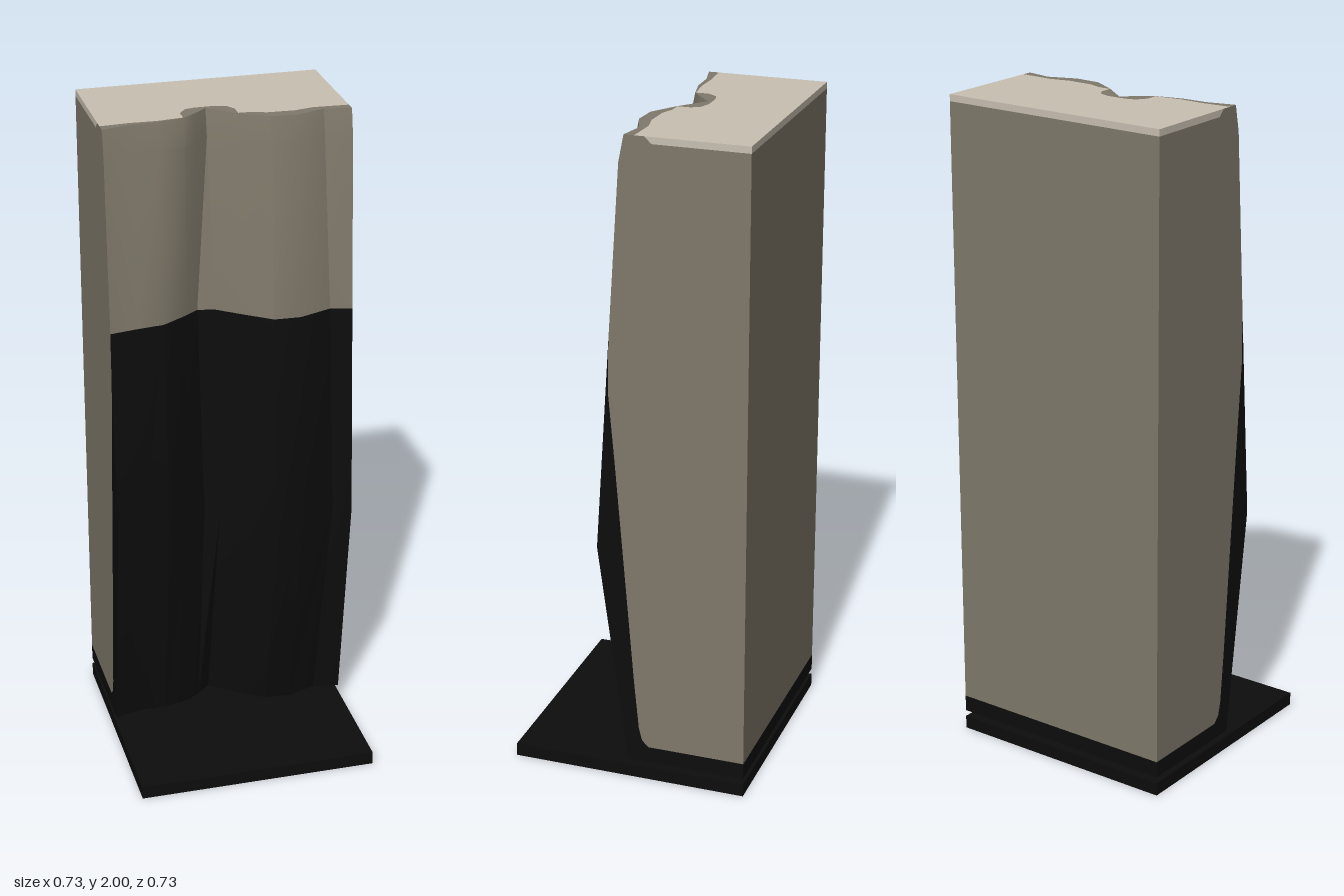
import * as THREE from 'three';
import { toCreasedNormals } from 'three/addons/utils/BufferGeometryUtils.js';

const W = 0.364, BOTTOM = 0.06, TOP = 2, SPLIT = 1.4;

// Wavy front outlines as [x, z], one per height
const rimRow = [[-W, 0], [-0.28, -0.02], [-0.2, -0.022], [-0.12, -0.04], [-0.08, -0.07], [-0.04, -0.105],
  [0.04, -0.04], [0.12, 0.01], [0.2, 0.015], [0.285, -0.015], [W, 0]];
const bevelRow = rimRow.map(([x, z]) => [x, z + 0.016]);
const splitRow = [[-W, 0.05], [-0.28, 0.035], [-0.2, 0.025], [-0.12, -0.025], [-0.08, -0.055], [-0.03, -0.045],
  [0.04, 0.01], [0.12, 0.07], [0.2, 0.073], [0.3, 0.035], [W, 0.05]];
const bulgeRow = [[-W, 0.095], [-0.28, 0.078], [-0.2, 0.07], [-0.12, 0.015], [-0.07, -0.018], [-0.03, 0.015],
  [0.04, 0.075], [0.12, 0.142], [0.2, 0.125], [0.31, 0.07], [W, 0.092]];

// Skin between stacked rows, listed from bottom to top
function skin(rows) {
  const pos = [], index = [], n = rows[0].pts.length;
  for (const { y, pts } of rows) for (const [x, z] of pts) pos.push(x, y, z);
  for (let r = 0; r < rows.length - 1; r++) {
    for (let i = 0; i < n - 1; i++) {
      const a = r * n + i, b = a + 1, c = a + n, d = c + 1;
      index.push(a, b, d, a, d, c);
    }
  }
  const g = new THREE.BufferGeometry();
  g.setAttribute('position', new THREE.Float32BufferAttribute(pos, 3));
  g.setIndex(index);
  return toCreasedNormals(g, 0.45);
}

const flat = (pts) => new THREE.ShapeGeometry(new THREE.Shape(pts.map(([u, v]) => new THREE.Vector2(u, v))));
// Side wall from [z, y] points; s = 1 for left (+x), -1 for right
const wall = (pts, s) => flat(pts.map(([z, y]) => [-s * z, y])).rotateY(s * Math.PI / 2).translate(s * W, 0, 0);
// Upward face from [x, z] points
const lid = (pts, y) => flat(pts.map(([x, z]) => [x, -z])).rotateX(-Math.PI / 2).translate(0, y, 0);
// Back panel between two heights
const back = (y0, y1) => new THREE.PlaneGeometry(2 * W, y1 - y0).rotateY(Math.PI).translate(0, (y0 + y1) / 2, -W);

export function createModel() {
  const group = new THREE.Group();
  const material = (name, color) => {
    const m = new THREE.MeshStandardMaterial({ color, side: THREE.DoubleSide });
    m.name = name;
    return m;
  };
  const black = material('black', 0x0d0d0d);
  const taupe = material('taupe', 0x80796b);
  const beige = material('beige', 0xc9c0b2);
  const add = (name, geometry, mat) => {
    const mesh = new THREE.Mesh(geometry, mat);
    mesh.name = name;
    group.add(mesh);
  };

  // Base plate, separated from the body by a narrow gap
  add('basePlate', new THREE.BoxGeometry(2 * W, 0.04, 2 * W).translate(0, 0.02, 0), black);

  // Sculpted front
  add('lowerFront', skin([{ y: BOTTOM, pts: rimRow }, { y: 0.75, pts: bulgeRow }, { y: SPLIT, pts: splitRow }]), black);
  add('upperFront', skin([{ y: SPLIT, pts: splitRow }, { y: 1.92, pts: bevelRow }, { y: TOP, pts: rimRow }]), taupe);

  // Side walls: black front edge and foot, taupe panel, beige top trim
  const seam = [[0.05, SPLIT], [0.053, 1.24], [0.035, 1.03], [0.005, 0.65], [-0.02, 0.33],
    [-0.035, 0.17], [-0.045, 0.13], [-0.065, 0.11], [-W, 0.11]];
  for (const s of [1, -1]) {
    const side = s > 0 ? 'left' : 'right';
    add(side + 'SideEdge', wall([...seam, [-W, BOTTOM], [0, BOTTOM], [s > 0 ? 0.092 : 0.095, 0.75]], s), black);
    add(side + 'SidePanel', wall([...seam, [-W, 1.98], [-0.08, 1.98], [-0.06, TOP], [0, TOP], [0.016, 1.92]], s), taupe);
    add(side + 'SideTrim', wall([[-W, 1.98], [-0.08, 1.98], [-0.06, TOP], [-W, TOP]], s), beige);
  }

  // Back
  add('backFoot', back(BOTTOM, 0.11), black);
  add('backPanel', back(0.11, 1.98), taupe);
  add('backTrim', back(1.98, TOP), beige);

  // Top with a taupe border along the wavy edge
  const border = [[-W, -0.03], [-0.28, -0.036], [-0.2, -0.033], [-0.12, -0.042], [-0.121, -0.08], [-0.1, -0.11],
    [-0.07, -0.118], [-0.01, -0.118], [0.025, -0.105], [0.04, -0.08], [0.04, -0.042], [0.08, -0.04],
    [0.12, -0.025], [0.2, -0.022], [0.26, -0.035], [W, -0.03]];
  add('topPanel', lid([...border, [W, -W], [-W, -W]], TOP), beige);
  add('topBorder', lid([...border, ...[...rimRow].reverse()], TOP), taupe);

  // Underside
  add('underside', flat([...rimRow, [W, -W], [-W, -W]]).rotateX(Math.PI / 2).translate(0, BOTTOM, 0), black);
  return group;
}
